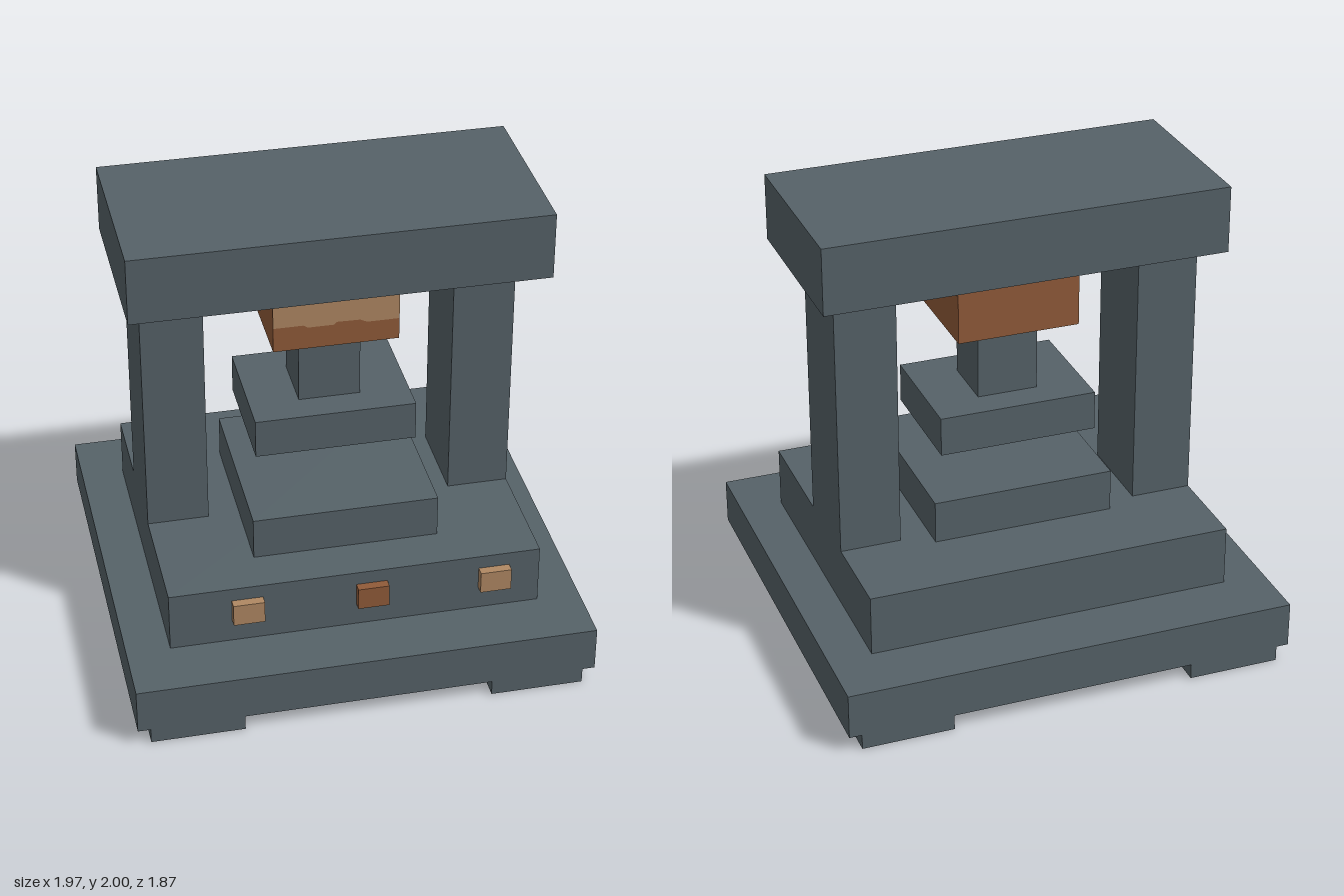
import * as THREE from 'three';

const material = (name, color) => {
  const m = new THREE.MeshStandardMaterial({ color });
  m.name = name;
  return m;
};

export function createModel() {
  const model = new THREE.Group();
  model.name = 'press';
  const steel = material('steel', 0x566268);
  const copper = material('copper', 0x915b39);
  const tan = material('tan', 0xb08863);

  // Box given by its low and high limits on each axis
  const block = (name, mat, [x0, x1], [y0, y1], [z0, z1]) => {
    const mesh = new THREE.Mesh(new THREE.BoxGeometry(x1 - x0, y1 - y0, z1 - z0), mat);
    mesh.position.set((x0 + x1) / 2, (y0 + y1) / 2, (z0 + z1) / 2);
    mesh.name = name;
    model.add(mesh);
  };
  const sym = (h) => [-h, h];

  // Feet and stepped base
  for (const x of [-0.733, 0.733])
    for (const z of [-0.733, 0.733])
      block('foot', steel, [x - 0.2, x + 0.2], [0, 0.067], [z - 0.2, z + 0.2]);
  block('basePlate', steel, sym(0.987), [0.067, 0.267], sym(0.933));
  block('body', steel, sym(0.8), [0.267, 0.533], sym(0.667));
  block('bed', steel, sym(0.4), [0.533, 0.72], [-0.333, 0.467]);

  // Columns and crown
  for (const x of [-0.667, 0.667])
    block('column', steel, [x - 0.133, x + 0.133], [0.533, 1.707], [-0.267, 0.133]);
  block('crown', steel, sym(0.88), [1.707, 2], sym(0.4));

  // Moving head
  block('pressPlate', steel, sym(0.347), [0.907, 1.08], sym(0.267));
  block('ram', steel, sym(0.133), [1.08, 1.417], sym(0.133));
  block('cylinderHousing', copper, sym(0.267), [1.417, 1.707], sym(0.267));

  // Pale uneven patches on the upper housing: lower outline, closed along the top
  const patch = (name, outline, angle) => {
    const pts = outline.map(([x, y]) => new THREE.Vector2(x, y));
    pts.push(new THREE.Vector2(outline.at(-1)[0], 1.707), new THREE.Vector2(outline[0][0], 1.707));
    const geo = new THREE.ShapeGeometry(new THREE.Shape(pts));
    geo.translate(0, 0, 0.269).rotateY(angle);
    const mesh = new THREE.Mesh(geo, tan);
    mesh.name = name;
    model.add(mesh);
  };
  patch('housingFrontPatch', [[-0.267, 1.53], [-0.14, 1.53], [-0.12, 1.518], [-0.01, 1.518],
    [0, 1.53], [0.1, 1.528], [0.13, 1.514], [0.267, 1.514]], 0);
  const side = [[-0.267, 1.627], [-0.1, 1.627], [-0.05, 1.615], [0.08, 1.615], [0.12, 1.63], [0.267, 1.63]];
  patch('housingLeftPatch', side, Math.PI / 2);
  patch('housingRightPatch', side, -Math.PI / 2);
  patch('housingBackPatch', [[0, 1.69], [0.03, 1.665], [0.1, 1.66], [0.13, 1.69]], Math.PI);

  // Control buttons
  [[-0.467, tan], [0.067, copper], [0.6, tan]].forEach(([x, mat]) =>
    block('button', mat, [x - 0.067, x + 0.067], [0.373, 0.473], [0.66, 0.707]));

  return model;
}
